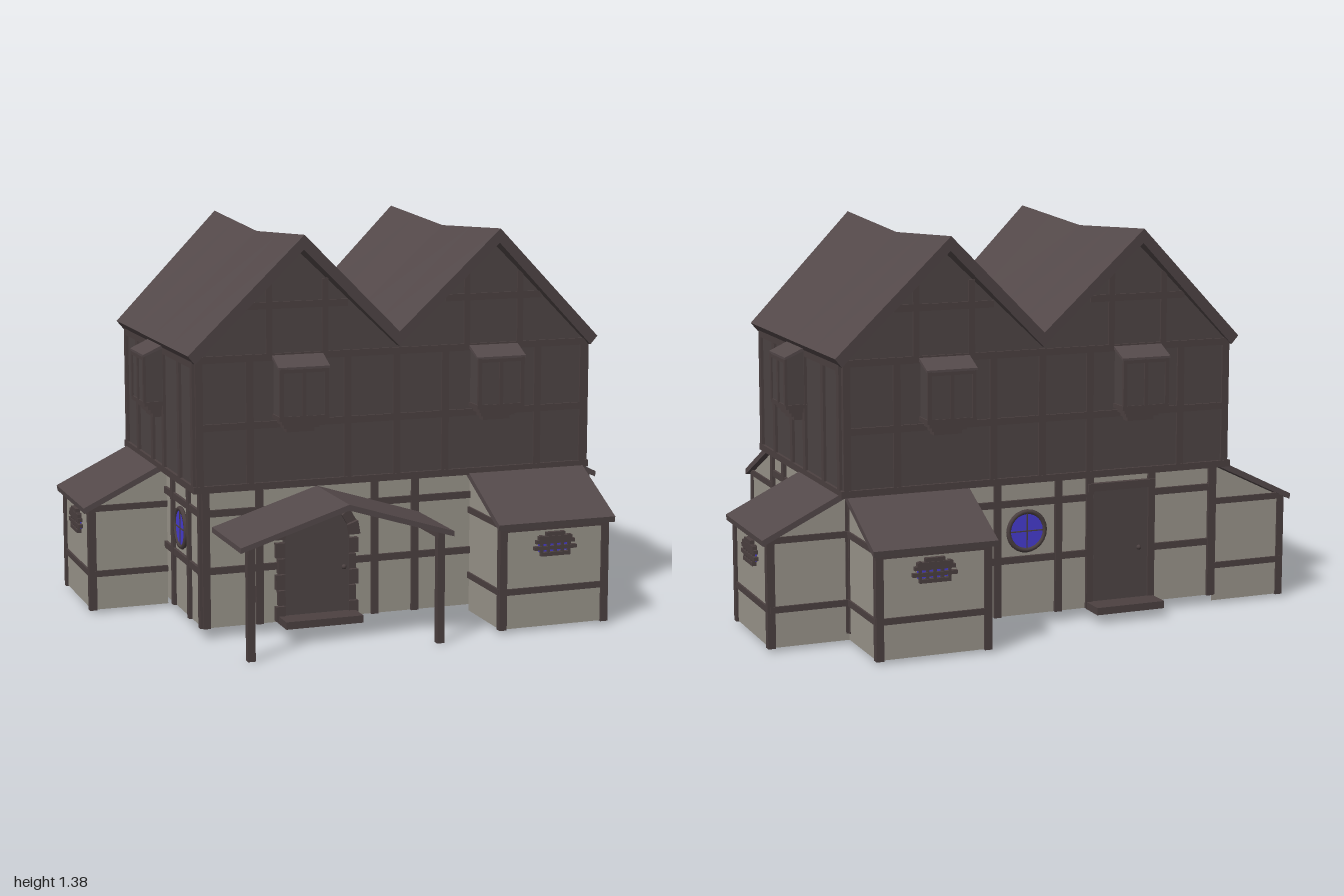
import * as THREE from 'three';

const mat = (name, color) => Object.assign(new THREE.MeshStandardMaterial({ color }), { name });
const timber = mat('dark timber', 0x4c4141);
const panel = mat('dark panel', 0x4e4545);
const roofing = mat('roof boards', 0x54494a);
const plaster = mat('plaster', 0x9a958b);
plaster.side = THREE.DoubleSide;
const glass = mat('blue glass', 0x473cd2);

function add(parent, name, geo, material, x = 0, y = 0, z = 0) {
  const m = new THREE.Mesh(geo, material);
  m.name = name;
  m.position.set(x, y, z);
  parent.add(m);
  return m;
}
const box = (p, name, material, w, h, d, x, y, z) =>
  add(p, name, new THREE.BoxGeometry(w, h, d), material, x, y, z);

// Outline in x,y pulled along z and centred on it
function slab(points, depth, steps = 1) {
  const shape = new THREE.Shape(points.map(([x, y]) => new THREE.Vector2(x, y)));
  return new THREE.ExtrudeGeometry(shape, { depth, steps, bevelEnabled: false }).translate(0, 0, -depth / 2);
}
// Outline in z,y pulled along x
const profile = (points, width) => slab(points, width).rotateY(-Math.PI / 2);

// Group on a wall: local +z points outwards, local x runs along the wall
function face(parent, name, x, z, angle) {
  const g = new THREE.Group();
  g.name = name;
  g.position.set(x, 0, z);
  g.rotation.y = angle;
  parent.add(g);
  return g;
}
const post = (p, x, y0, y1, t = 0.012, w = 0.026) =>
  box(p, 'post', timber, w, y1 - y0, t * 2, x, (y0 + y1) / 2, 0);
const rail = (p, y, x0, x1, t = 0.01, h = 0.024) =>
  box(p, 'rail', timber, x1 - x0, h, t * 2, (x0 + x1) / 2, y, 0);

// Box without the listed sides (0..5 = +x -x +y -y +z -z)
function openBox(w, h, d, missing) {
  const g = new THREE.BoxGeometry(w, h, d);
  g.setIndex(Array.from(g.index.array).filter((_, i) => !missing.includes(Math.floor(i / 6))));
  g.clearGroups();
  return g;
}

function roundWindow(parent, x, y) {
  const g = new THREE.Group();
  g.name = 'roundWindow';
  g.position.set(x, y, 0);
  parent.add(g);
  add(g, 'pane', new THREE.CylinderGeometry(0.066, 0.066, 0.008, 24).rotateX(Math.PI / 2), glass, 0, 0, 0.004);
  add(g, 'frame', new THREE.TorusGeometry(0.068, 0.009, 6, 24), timber, 0, 0, 0.006);
  box(g, 'muntin', timber, 0.004, 0.13, 0.006, 0, 0, 0.008);
  box(g, 'muntin', timber, 0.13, 0.004, 0.006, 0, 0, 0.008);
}

// Fan-shaped slatted window
function slatWindow(parent, y, z) {
  box(parent, 'slatGlass', glass, 0.12, 0.045, 0.006, 0, y - 0.005, z + 0.003);
  [[0.11, -0.036], [0.158, -0.014], [0.145, 0.008], [0.125, 0.021], [0.07, 0.035]].forEach(([w, dy]) =>
    box(parent, 'slat', timber, w, 0.013, 0.016, 0, y + dy, z + 0.008));
  for (let i = -2; i <= 2; i++) box(parent, 'slatBar', timber, 0.01, 0.06, 0.014, i * 0.026, y, z + 0.007);
}

// Lean-to annex with a sloping roof
function annex(parent, x, z, angle) {
  const g = face(parent, 'annex', x, z, angle);
  const D = 0.28, H = 0.51;
  const walls = openBox(0.4, H - 0.012, D, [2, 3, 5]);
  walls.translate(0, (H + 0.012) / 2, D / 2);
  const p = walls.attributes.position;
  for (let i = 0; i < p.count; i++) if (p.getY(i) > 0.3 && p.getZ(i) > 0.1) p.setY(i, 0.375);
  walls.computeVertexNormals();
  add(g, 'annexWalls', walls, plaster);
  add(g, 'annexRoof', profile([[0, 0.515], [0.305, 0.367], [0.308, 0.387], [0, 0.538]], 0.438), roofing);
  for (const s of [-1, 1]) {
    box(g, 'cornerPost', timber, 0.027, 0.368, 0.027, s * 0.192, 0.194, D - 0.005);
    for (const y of [0.143, 0.38]) box(g, 'sideRail', timber, 0.014, 0.022, D, s * 0.2, y, D / 2);
  }
  for (const y of [0.143, 0.365]) box(g, 'frontRail', timber, 0.38, 0.022, 0.014, 0, y, D);
  slatWindow(g, 0.305, D);
}

// Projecting upper window on stepped corbels
function oriel(parent, x) {
  const g = new THREE.Group();
  g.name = 'oriel';
  g.position.x = x;
  parent.add(g);
  add(g, 'orielBody', profile([[0, 0.755], [0.074, 0.755], [0.074, 0.932], [0, 0.962]], 0.168), panel);
  add(g, 'orielRoof', profile([[0, 0.962], [0.08, 0.93], [0.08, 0.938], [0, 0.975]], 0.182), roofing);
  box(g, 'orielSill', timber, 0.178, 0.015, 0.078, 0, 0.763, 0.039);
  [[0.15, 0.062], [0.126, 0.05], [0.1, 0.037]].forEach(([w, d], i) =>
    box(g, 'corbel', timber, w, 0.016, d, 0, 0.748 - i * 0.015, d / 2));
  for (const px of [-0.08, 0, 0.08]) box(g, 'orielPost', timber, 0.014, 0.165, 0.01, px, 0.85, 0.075);
  box(g, 'orielHead', timber, 0.174, 0.014, 0.01, 0, 0.925, 0.075);
}

function archedDoor(parent, x) {
  const g = new THREE.Group();
  g.name = 'archedDoor';
  g.position.x = x;
  parent.add(g);
  const r = 0.12, cy = 0.325;
  const s = new THREE.Shape();
  s.moveTo(-r, 0.05).lineTo(r, 0.05).lineTo(r, cy).absarc(0, cy, r, 0, Math.PI, false);
  add(g, 'doorLeaf', new THREE.ExtrudeGeometry(s, { depth: 0.012, bevelEnabled: false, curveSegments: 10 }), panel);
  // wedge stones around the arch
  for (let i = 0; i < 9; i++) {
    const a = (i + 0.06) * Math.PI / 9, b = (i + 0.94) * Math.PI / 9, o = i % 2 ? 0.152 : 0.158;
    const at = (q, t) => [q * Math.cos(t), cy + q * Math.sin(t)];
    add(g, 'archStone', slab([at(r - 0.004, a), at(o, a), at(o, b), at(r - 0.004, b)], 0.04), timber);
  }
  // jamb stones, alternating widths
  for (const side of [-1, 1]) for (let i = 0; i < 5; i++) {
    const w = i % 2 ? 0.026 : 0.034;
    box(g, 'jambStone', timber, w, 0.052, 0.04, side * (0.116 + w / 2), 0.066 + i * 0.056, 0);
  }
  add(g, 'knob', new THREE.SphereGeometry(0.009, 8, 6), timber, 0.098, 0.215, 0.018);
  box(g, 'doorStep', timber, 0.28, 0.026, 0.1, 0, 0.045, 0.05);
}

export function createModel() {
  const house = new THREE.Group();
  house.name = 'house';
  const Q = Math.PI / 2;

  // Ground floor walls
  add(house, 'groundWalls', openBox(1.38, 0.485, 0.86, [2, 3]), plaster, 0, 0.2775, -0.02);
  const front = face(house, 'groundFront', 0, 0.41, 0);
  const back = face(house, 'groundBack', 0, -0.45, Math.PI);
  [-0.68, -0.49, -0.07, 0.08, 0.68].forEach(x => post(front, x, 0.035, 0.52));
  [0.235, 0.435].forEach(y => { rail(front, y, -0.69, -0.42); rail(front, y, -0.14, 0.3); });
  archedDoor(front, -0.285);
  [-0.68, -0.15, 0.08, 0.2, 0.44, 0.68].forEach(x => post(back, x, 0.035, 0.52));
  [0.235, 0.435].forEach(y => { rail(back, y, -0.69, 0.2); rail(back, y, 0.44, 0.69); });
  roundWindow(back, -0.04, 0.335);

  // Back door
  box(back, 'backDoor', panel, 0.21, 0.41, 0.016, 0.32, 0.255, 0);
  box(back, 'doorHead', timber, 0.26, 0.028, 0.04, 0.32, 0.47, 0);
  add(back, 'knob', new THREE.SphereGeometry(0.009, 8, 6), timber, 0.39, 0.24, 0.014);
  box(back, 'backStep', timber, 0.26, 0.026, 0.1, 0.32, 0.045, 0.05);

  // Upper floor with twin gables
  const wallTop = [[0.72, 0.965], [0.36, 1.325], [0, 0.985], [-0.36, 1.325], [-0.72, 0.965]];
  add(house, 'upperWalls', slab([[-0.72, 0.525], [0.72, 0.525], ...wallTop], 0.93), panel, 0, 0, -0.025);
  box(house, 'jettyBeam', timber, 1.46, 0.024, 0.95, 0, 0.525, -0.025);

  // Gable framing and oriels
  for (const [z, angle] of [[0.44, 0], [-0.49, Math.PI]]) {
    const g = face(house, 'gableFace', 0, z, angle);
    [-0.707, -0.53, -0.18, 0, 0.18, 0.53, 0.707].forEach(x => post(g, x, 0.53, 0.965, 0.008));
    [0.735, 0.965].forEach(y => rail(g, y, -0.72, 0.72, 0.008));
    for (const s of [-0.36, 0.36]) {
      rail(g, 1.14, s - 0.18, s + 0.18, 0.008);
      [-0.1, 0.1].forEach(d => post(g, s + d, 0.965, 1.225, 0.008, 0.022));
      oriel(g, s);
    }
  }

  // Side walls: framing, round windows and oriels
  for (const s of [-1, 1]) {
    const low = face(house, 'groundSide', s * 0.69, 0, s * Q);
    [0.4, 0.26, 0.055, -0.44].forEach(z => post(low, -s * z, 0.035, 0.52));
    [0.232, 0.432].forEach(y => rail(low, y, Math.min(-s * 0.41, s * 0.45), Math.max(-s * 0.41, s * 0.45)));
    roundWindow(low, -s * 0.157, 0.335);
    const up = face(house, 'upperSide', s * 0.72, -0.02, s * Q);
    [0.447, 0.28, 0.075].forEach(z => [-1, 1].forEach(k => post(up, k * z, 0.53, 0.96, 0.01)));
    rail(up, 0.95, -0.45, 0.45);
    oriel(up, 0);
    annex(house, s * 0.69, -0.25, s * Q);
  }
  annex(house, 0.49, 0.41, 0);
  annex(house, 0.49, -0.45, Math.PI);

  // Twin-ridge roof: ridges sag mid-length and overhang further than the eaves
  const top = [[-0.75, 0.985], [-0.355, 1.38], [0, 1.035], [0.355, 1.38], [0.75, 0.985]];
  const under = top.map(([x, y], i) => [x * (i % 4 ? 1 : 0.967), y - (i % 4 ? 0.05 : 0.03)]);
  const roof = slab([...under, ...top.slice().reverse()], 2, 4);
  const p = roof.attributes.position;
  for (let i = 0; i < p.count; i++) {
    const t = (p.getY(i) - 0.98) / 0.4, k = p.getZ(i);
    p.setZ(i, k * (0.487 + 0.043 * t) - 0.02);
    p.setY(i, p.getY(i) - 0.032 * Math.max(t, 0) * (1 - Math.abs(k)));
  }
  roof.computeVertexNormals();
  add(house, 'mainRoof', roof, roofing);

  // Porch
  const porch = new THREE.Group();
  porch.name = 'porch';
  porch.position.set(-0.285, 0, 0);
  house.add(porch);
  add(porch, 'porchRoof', slab([[-0.375, 0.372], [0, 0.488], [0.375, 0.372], [0.375, 0.39], [0, 0.508], [-0.375, 0.39]], 0.335),
    roofing, 0, 0, 0.59);
  for (const s of [-1, 1]) {
    box(porch, 'porchPost', timber, 0.026, 0.39, 0.026, s * 0.335, 0.195, 0.727);
    box(porch, 'porchBeam', timber, 0.022, 0.022, 0.33, s * 0.335, 0.376, 0.58);
  }
  return house;
}
